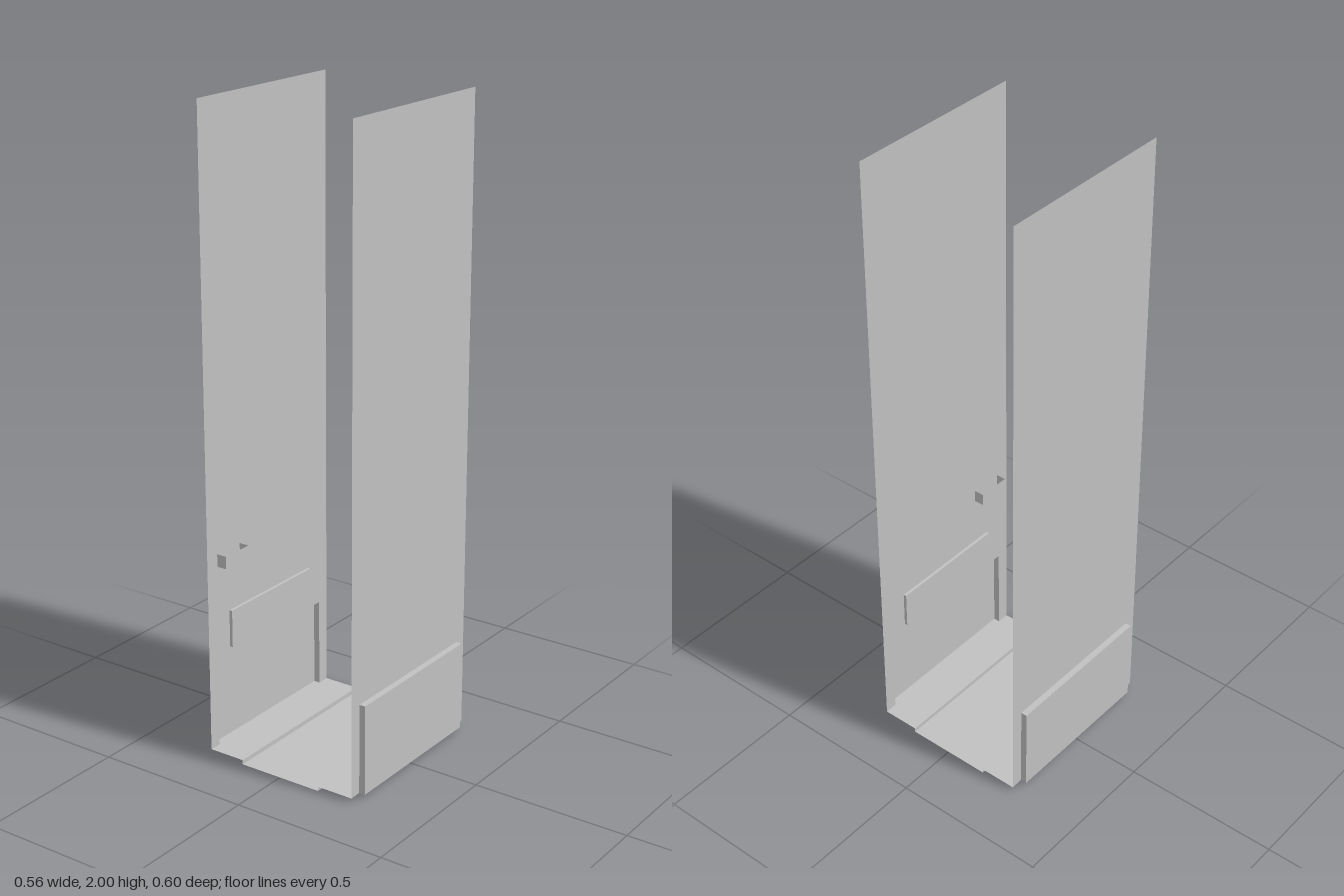
import * as THREE from 'three';

const panelGrey = new THREE.MeshStandardMaterial({ color: 0xc0c0c0, side: THREE.DoubleSide, flatShading: true });
panelGrey.name = 'panel grey';

const WALL_X = 0.26, DEPTH = 0.3, BASE = 0.014;

// Sheet box: only the listed faces (px nx py ny pz nz) of a box given by its ranges
const FACES = ['px', 'nx', 'py', 'ny', 'pz', 'nz'];
function sheetBox(name, [x0, x1], [y0, y1], [z0, z1], keep = FACES) {
  const box = new THREE.BoxGeometry(x1 - x0, y1 - y0, z1 - z0);
  const index = Array.from(box.index.array);
  box.setIndex(keep.flatMap((f) => index.slice(FACES.indexOf(f) * 6, FACES.indexOf(f) * 6 + 6)));
  box.translate((x0 + x1) / 2, (y0 + y1) / 2, (z0 + z1) / 2);
  const mesh = new THREE.Mesh(box, panelGrey);
  mesh.name = name;
  return mesh;
}

// Tall sheet wall with a notch at the foot where the pocket opens
function wall(s) {
  const outline = [[-DEPTH, BASE], [-0.26, BASE], [-0.26, 0.3], [0.26, 0.3], [0.26, BASE],
    [DEPTH, BASE], [DEPTH, 2], [-DEPTH, 2]];
  const geometry = new THREE.ShapeGeometry(new THREE.Shape(outline.map(([z, y]) => new THREE.Vector2(z, y))));
  geometry.rotateY(-Math.PI / 2).translate(s * WALL_X, 0, 0);
  const mesh = new THREE.Mesh(geometry, panelGrey);
  mesh.name = 'wall';
  return mesh;
}

export function createModel() {
  const model = new THREE.Group();
  model.name = 'doorLining';

  // Floor: sunken middle with its two steps
  model.add(sheetBox('floorChannel', [-0.14, 0.14], [0, BASE], [-DEPTH, DEPTH], ['ny', 'px', 'nx']));

  for (const s of [-1, 1]) {
    const side = new THREE.Group();
    side.name = s > 0 ? 'leftSide' : 'rightSide';
    const range = (a, b) => (s > 0 ? [a, b] : [-b, -a]);
    const outer = s > 0 ? 'px' : 'nx', inner = s > 0 ? 'nx' : 'px';

    side.add(wall(s));
    // Raised strip of floor beside the wall
    side.add(sheetBox('floorStrip', range(0.14, WALL_X), [0, BASE], [-DEPTH, DEPTH], ['py']));
    // Shallow pocket pushed outward at the foot of the wall
    side.add(sheetBox('pocket', range(WALL_X, 0.28), [BASE, 0.3], [-0.26, 0.26], [outer, 'py', 'ny', 'pz', 'nz']));
    // Raised panel on the inner face
    side.add(sheetBox('raisedPanel', range(0.25, WALL_X), [0.32, 0.44], [-0.2, 0.2], [inner, 'py', 'ny', 'pz', 'nz']));
    // Pull handle, open at the top like a cup
    side.add(sheetBox('pullHandle', range(0.227, WALL_X), [0.6, 0.64], [0.145, 0.253], [inner, 'ny', 'pz', 'nz']));
    model.add(side);
  }
  return model;
}
